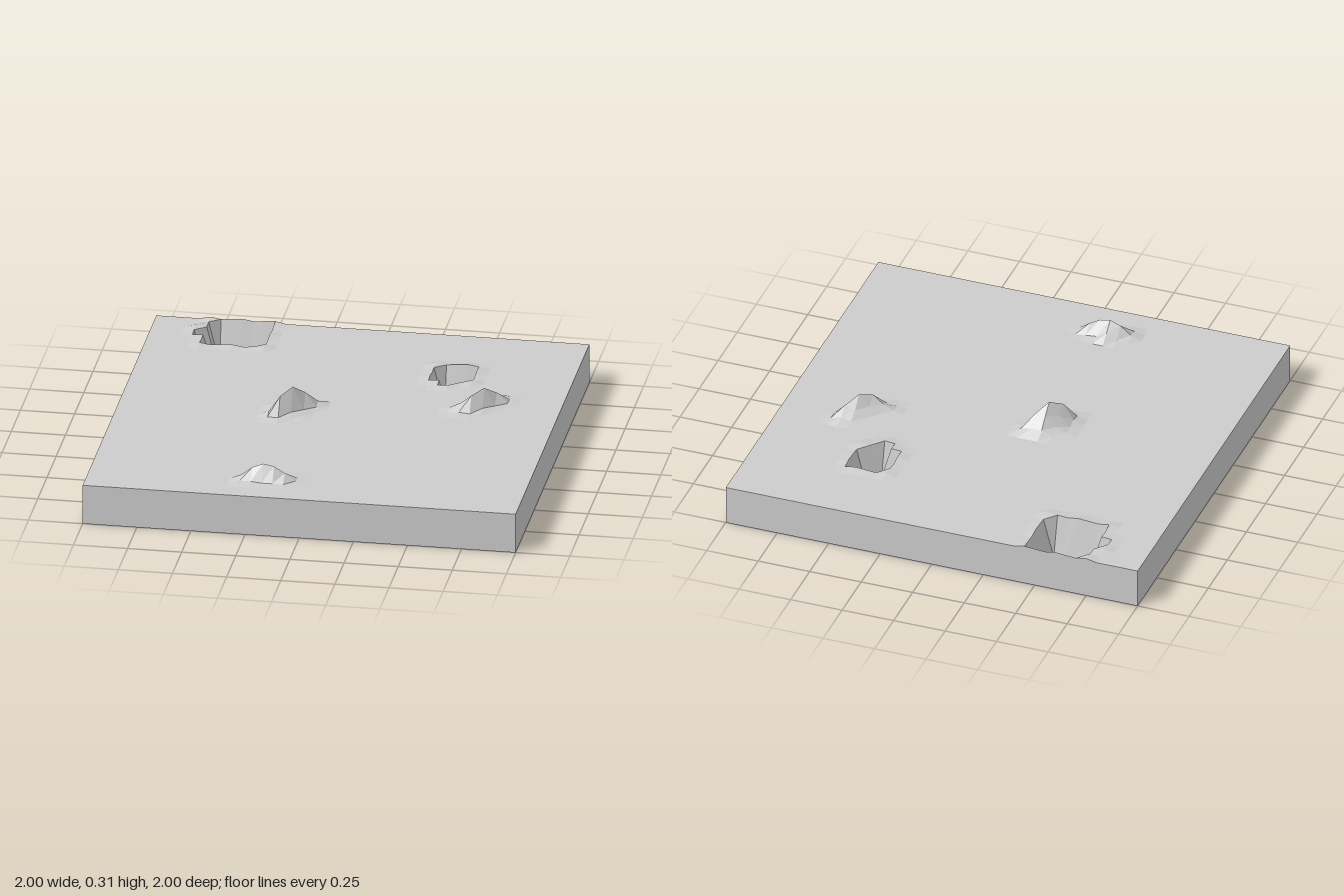
import * as THREE from 'three';

const N = 40, STEP = 2 / N, TOP = 0.19;

// Mounds: first column and row on the grid, then rises above the slab in hundredths
const mounds = [
  { col: 14, row: 18, rise: [ // central peak
    [0, 1, 3, 3, 2],
    [1, 3, 8, 8, 1],
    [1, 6, 12.5, 1.5, 0],
    [2, 9.5, 2, 0.5, 0],
    [1, 1, 0, 0, 0]] },
  { col: 14, row: 35, rise: [ // front ridge
    [0, 1, 3.5, 1, 0.5, 0],
    [2, 6, 8, 7, 4, 0.5],
    [1, 1, 0.5, 0.5, 0.5, 0]] },
  { col: 30, row: 14, rise: [ // diagonal ridge on the +x side
    [0, 0, 0, 1, 2, 0.5],
    [0, 0, 1, 4, 5.5, 0.5],
    [0, 1, 4, 9.5, 1, 0],
    [1, 3.5, 7.5, 1.5, 0, 0],
    [0.5, 1, 0.5, 0, 0, 0]] },
];

// Pits: range of columns and rows that reach the underside, plus one notch point
const pits = [
  { cols: [6, 10], rows: [1, 5], notch: [5, 3] },
  { cols: [28, 30], rows: [8, 10], notch: [29, 11] },
];

function isPit(i, j) {
  return pits.some(({ cols, rows, notch }) =>
    (i >= cols[0] && i <= cols[1] && j >= rows[0] && j <= rows[1]) ||
    (i === notch[0] && j === notch[1]));
}

function heightAt(i, j) {
  if (isPit(i, j)) return 0;
  for (const { col, row, rise } of mounds) {
    const r = rise[j - row]?.[i - col];
    if (r) return TOP + r / 100;
  }
  // Slightly uneven lip around each pit
  for (let a = -1; a <= 1; a++)
    for (let b = -1; b <= 1; b++)
      if (isPit(i + a, j + b)) return TOP + 0.003 + 0.004 * ((i * 7 + j * 5) % 3);
  return TOP;
}

const top = (i, j) => [i * STEP - 1, heightAt(i, j), j * STEP - 1];
const floor = (i, j) => [i * STEP - 1, 0, j * STEP - 1];

function meshFrom(name, triangles, material) {
  const geometry = new THREE.BufferGeometry();
  geometry.setAttribute('position', new THREE.Float32BufferAttribute(triangles.flat(2), 3));
  geometry.computeVertexNormals();
  const mesh = new THREE.Mesh(geometry, material);
  mesh.name = name;
  return mesh;
}

export function createModel() {
  const group = new THREE.Group();
  group.name = 'terrainSlab';
  const stone = new THREE.MeshStandardMaterial({ name: 'stone grey', color: 0xcccccc });

  // Ground surface and underside, both left open where the pits break through
  const ground = [], underside = [];
  for (let j = 0; j < N; j++) {
    for (let i = 0; i < N; i++) {
      const a = [i, j], b = [i, j + 1], c = [i + 1, j + 1], d = [i + 1, j];
      for (const tri of [[a, b, d], [b, c, d]]) {
        if (tri.every(([x, z]) => isPit(x, z))) continue;
        ground.push(tri.map(([x, z]) => top(x, z)));
        underside.push([...tri].reverse().map(([x, z]) => floor(x, z)));
      }
    }
  }

  // Outer walls follow the ground along all four edges
  const walls = [];
  const wall = (p, q) => walls.push(
    [floor(...p), floor(...q), top(...q)],
    [floor(...p), top(...q), top(...p)]);
  for (let k = 0; k < N; k++) {
    wall([k, N], [k + 1, N]);
    wall([N, k + 1], [N, k]);
    wall([k + 1, 0], [k, 0]);
    wall([0, k], [0, k + 1]);
  }

  group.add(
    meshFrom('ground', ground, stone),
    meshFrom('underside', underside, stone),
    meshFrom('outerWalls', walls, stone));
  return group;
}
